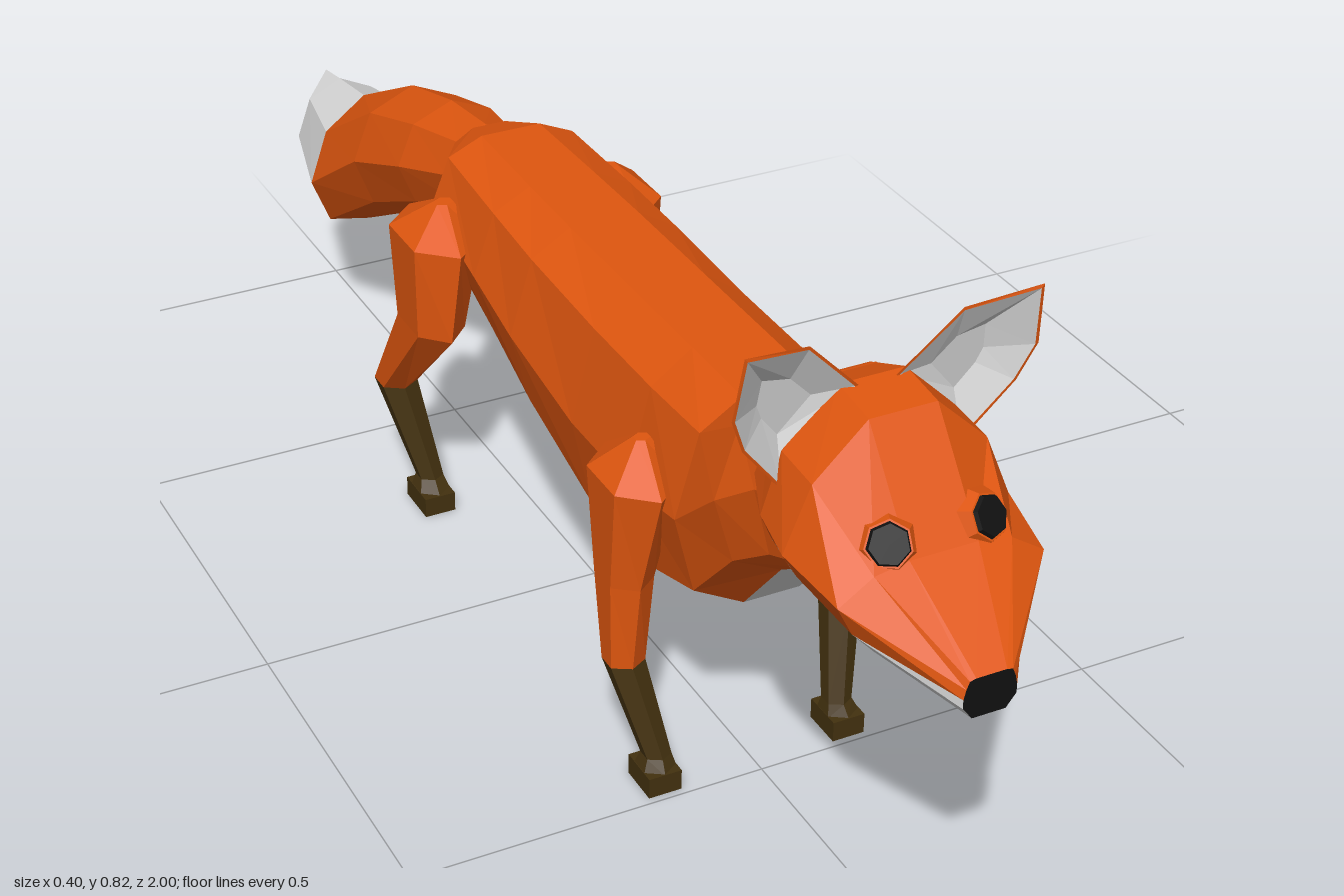
import * as THREE from 'three';

const mat = (name, color) => Object.assign(new THREE.MeshStandardMaterial({ color }), { name });

// Faceted skin over rings of [x, y, z] points; paint(segment, side) picks a material index.
// Segment -1 is the start cap, rings.length - 1 the end cap. mirror flips the shape in x.
function loft(name, rings, mats, paint, mirror = false) {
  const buckets = mats.map(() => []);
  const tri = (m, a, b, c) => {
    for (const p of mirror ? [a, c, b] : [a, b, c]) buckets[m].push(mirror ? -p[0] : p[0], p[1], p[2]);
  };
  const n = rings[0].length;
  const centre = (r) => [0, 1, 2].map((k) => r.reduce((s, p) => s + p[k], 0) / n);
  const last = rings.length - 1, c0 = centre(rings[0]), c1 = centre(rings[last]);
  for (let j = 0; j < n; j++) {
    const k = (j + 1) % n;
    tri(paint(-1, j), c0, rings[0][k], rings[0][j]);
    for (let i = 0; i < last; i++) {
      const a = rings[i], b = rings[i + 1], m = paint(i, j);
      tri(m, a[j], a[k], b[k]);
      tri(m, a[j], b[k], b[j]);
    }
    tri(paint(last, j), c1, rings[last][j], rings[last][k]);
  }
  const geo = new THREE.BufferGeometry();
  geo.setAttribute('position', new THREE.Float32BufferAttribute(buckets.flat(), 3));
  let start = 0;
  buckets.forEach((b, m) => {
    if (b.length) geo.addGroup(start, b.length / 3, m);
    start += b.length / 3;
  });
  geo.computeVertexNormals();
  const mesh = new THREE.Mesh(geo, mats);
  mesh.name = name;
  return mesh;
}

// Left half of a cross-section, bottom to top, completed by its mirror image
const symmetric = (z, half) => [
  ...half.map(([x, y]) => [x, y, z]),
  ...half.slice().reverse().map(([x, y]) => [-x, y, z]),
];

export function createModel() {
  const fox = new THREE.Group();
  fox.name = 'fox';
  const orange = mat('orange fur', 0xdf560f);
  const white = mat('white fur', 0xd6d6d6);
  const brown = mat('dark brown legs', 0x43310f);
  const black = mat('black', 0x111111);

  // Body and neck with a white belly stripe: z, bottom, top, half width
  const bodyRings = [
    [-0.345, 0.42, 0.565, 0.07], [-0.27, 0.4, 0.59, 0.125], [-0.1, 0.35, 0.59, 0.135],
    [0.03, 0.3, 0.59, 0.14], [0.22, 0.24, 0.59, 0.14], [0.38, 0.24, 0.59, 0.14],
    [0.51, 0.285, 0.59, 0.14], [0.6, 0.39, 0.645, 0.135], [0.66, 0.43, 0.695, 0.115],
    [0.73, 0.455, 0.71, 0.1],
  ].map(([z, b, t, w]) => {
    const h = t - b;
    return symmetric(z, [[0.04, b], [0.8 * w, b + 0.13 * h], [w, b + 0.5 * h], [0.77 * w, t - 0.12 * h], [0.36 * w, t]]);
  });
  fox.add(loft('body', bodyRings, [orange, white], (i, j) => (j === 9 && i >= 0 ? 1 : 0)));

  // Head with white cheeks and jaw, black nose on the front face
  const headRings = [
    symmetric(0.65, [[0.04, 0.45], [0.08, 0.47], [0.1, 0.55], [0.11, 0.58], [0.09, 0.64], [0.04, 0.69]]),
    symmetric(0.72, [[0.05, 0.45], [0.09, 0.47], [0.125, 0.535], [0.14, 0.57], [0.115, 0.65], [0.045, 0.72]]),
    symmetric(0.79, [[0.045, 0.45], [0.09, 0.475], [0.13, 0.525], [0.15, 0.56], [0.115, 0.645], [0.045, 0.712]]),
    symmetric(0.89, [[0.04, 0.44], [0.085, 0.472], [0.115, 0.505], [0.135, 0.545], [0.09, 0.575], [0.045, 0.583]]),
    symmetric(1.0, [[0.022, 0.433], [0.035, 0.45], [0.035, 0.462], [0.032, 0.475], [0.028, 0.485], [0.02, 0.487]]),
  ];
  fox.add(loft('head', headRings, [orange, white, black], (i, j) => {
    if (i === 4) return 2;
    return i >= 1 && (j < 2 || j > 8) ? 1 : 0;
  }));

  // Tail with a white tip: z, bottom, top, half width
  const tailRings = [
    [-1, 0.25, 0.375, 0.006], [-0.94, 0.21, 0.385, 0.075], [-0.79, 0.18, 0.4, 0.112],
    [-0.63, 0.29, 0.505, 0.1], [-0.48, 0.365, 0.545, 0.088], [-0.36, 0.42, 0.56, 0.062],
    [-0.28, 0.44, 0.56, 0.05],
  ].map(([z, b, t, w], r) => Array.from({ length: 8 }, (_, k) => {
    const a = (k * Math.PI) / 4;
    const dz = r === 2 ? -0.045 * Math.sin(a) ** 4 : 0;
    return [w * Math.cos(a), (b + t) / 2 + ((t - b) / 2) * Math.sin(a), z + dz];
  }));
  fox.add(loft('tail', tailRings, [orange, white], (i) => (i < 2 ? 1 : 0)));

  // Legs from the foot up: y, inner x, outer x, back z, front z
  const legs = {
    frontLeg: [
      [0.028, 0.113, 0.16, 0.43, 0.49], [0.045, 0.117, 0.152, 0.438, 0.478], [0.173, 0.135, 0.184, 0.385, 0.44],
      [0.3, 0.125, 0.187, 0.36, 0.452], [0.45, 0.1, 0.191, 0.33, 0.487], [0.5, 0.125, 0.145, 0.4, 0.42],
    ],
    hindLeg: [
      [0.028, 0.113, 0.16, -0.31, -0.24], [0.045, 0.117, 0.152, -0.305, -0.262], [0.19, 0.135, 0.189, -0.368, -0.3],
      [0.345, 0.115, 0.187, -0.293, -0.145], [0.485, 0.09, 0.191, -0.312, -0.13], [0.53, 0.115, 0.14, -0.23, -0.205],
    ],
  };

  // Ear rim, anticlockwise from the base
  const rim = [[0.12, 0.605, 0.73], [0.18, 0.68, 0.745], [0.2, 0.73, 0.755], [0.193, 0.816, 0.768], [0.1, 0.798, 0.748], [0.025, 0.72, 0.732]];
  const shrink = (s, z) => rim.map(([x, y, rz]) => [
    0.115 + (x - 0.115) * s, 0.71 + (y - 0.71) * s, z === undefined ? rz : z + (y - 0.71) * s * 0.15,
  ]);

  for (const side of [1, -1]) {
    const prefix = side > 0 ? 'left ' : 'right ', mirror = side < 0;

    for (const [name, rows] of Object.entries(legs)) {
      const rings = rows.map(([y, x0, x1, z0, z1]) => Array.from({ length: 6 }, (_, k) => {
        const a = (k * Math.PI) / 3;
        return [(x0 + x1) / 2 + ((x1 - x0) / 2) * Math.sin(a) / Math.sin(Math.PI / 3), y, (z0 + z1) / 2 + ((z1 - z0) / 2) * Math.cos(a)];
      }));
      fox.add(loft(prefix + name, rings, [orange, brown], (i) => (i < 2 ? 1 : 0), mirror));
      // Foot block
      const [, x0, x1, z0, z1] = rows[0];
      const foot = new THREE.Mesh(new THREE.BoxGeometry(x1 - x0, 0.03, z1 - z0), brown);
      foot.position.set((side * (x0 + x1)) / 2, 0.015, (z0 + z1) / 2);
      foot.name = prefix + name + ' foot';
      fox.add(foot);
    }

    // Hollow ear: orange back and rim, white inside
    const earRings = [shrink(0.45, 0.704), rim, shrink(0.95), shrink(0.4, 0.718)];
    fox.add(loft(prefix + 'ear', earRings, [orange, white], (i) => (i >= 2 ? 1 : 0), mirror));

    // Eye: raised lid with a thin black plate
    const eye = new THREE.Group();
    eye.name = prefix + 'eye';
    const disc = (name, r0, r1, h, y, m) => {
      const geo = new THREE.CylinderGeometry(r0, r1, h, 7).toNonIndexed();
      geo.computeVertexNormals();
      const mesh = new THREE.Mesh(geo, m);
      mesh.name = name;
      mesh.position.y = y;
      eye.add(mesh);
    };
    disc('lid', 0.029, 0.042, 0.024, 0, orange);
    disc('eyeball', 0.024, 0.027, 0.006, 0.014, black);
    eye.position.set(side * 0.062, 0.597, 0.868);
    eye.quaternion.setFromUnitVectors(new THREE.Vector3(0, 1, 0), new THREE.Vector3(side * 0.3, 0.5, 0.8).normalize());
    fox.add(eye);
  }
  return fox;
}
